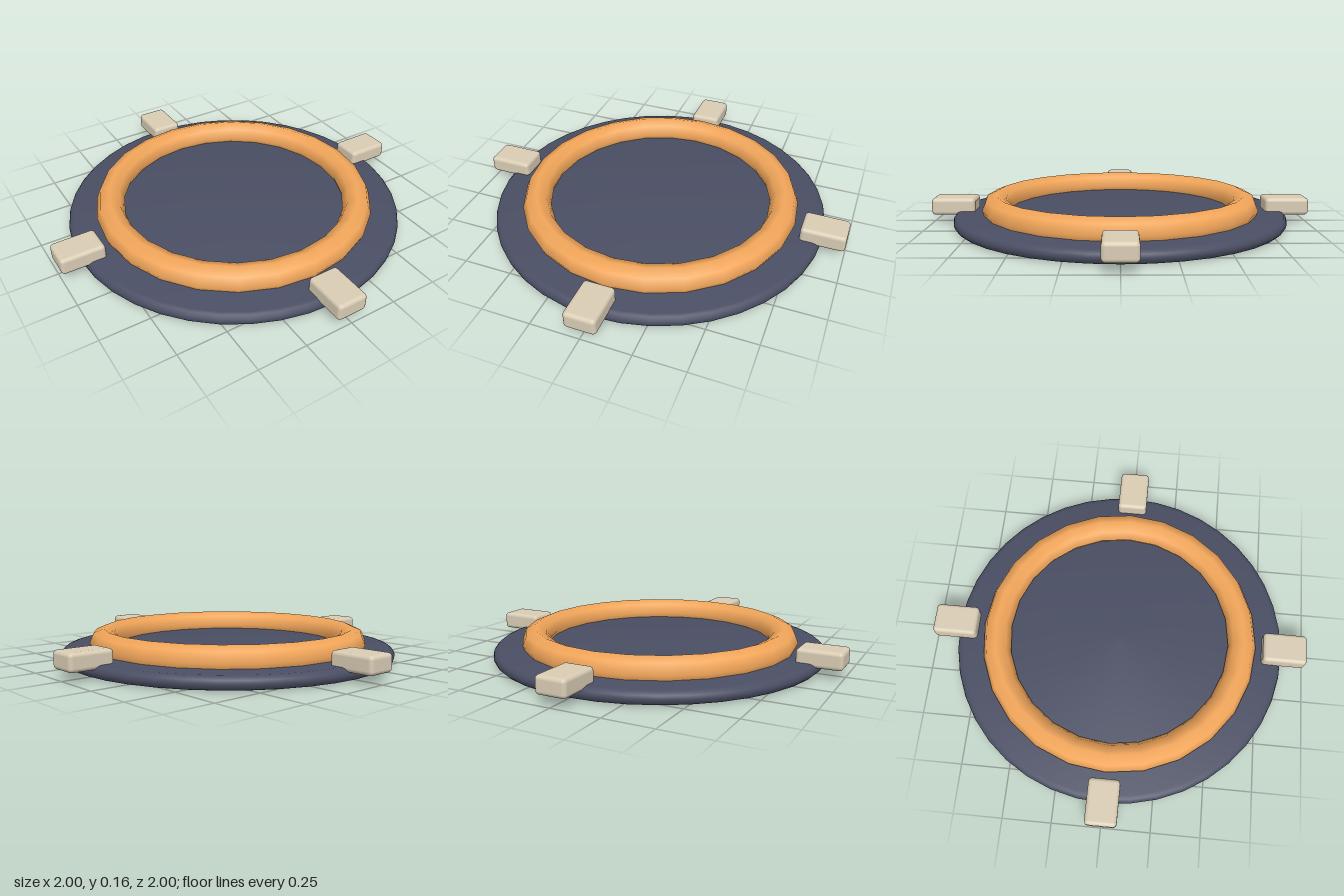
import * as THREE from 'three';
import { RoundedBoxGeometry } from 'three/addons/geometries/RoundedBoxGeometry.js';
import { toCreasedNormals } from 'three/addons/utils/BufferGeometryUtils.js';

export function createModel() {
  const model = new THREE.Group();
  const add = (name, geometry, color) => {
    const mesh = new THREE.Mesh(geometry, new THREE.MeshStandardMaterial({ color }));
    mesh.name = name;
    model.add(mesh);
    return mesh;
  };

  // Flat base disc with a rounded rim
  const height = 0.066, rim = height / 2, radius = 0.88;
  const profile = [new THREE.Vector2(0, 0)];
  for (let i = 0; i <= 6; i++) {
    const a = -Math.PI / 2 + (i / 6) * Math.PI;
    profile.push(new THREE.Vector2(radius - rim + rim * Math.cos(a), rim + rim * Math.sin(a)));
  }
  profile.push(new THREE.Vector2(0, height));
  add('baseDisc', toCreasedNormals(new THREE.LatheGeometry(profile, 40), 0.7), 0x4a4e63);

  // Raised ring, partly sunk into the disc
  const ring = new THREE.TorusGeometry(0.66, 0.074, 8, 24).rotateX(-Math.PI / 2);
  add('ring', ring, 0xf2a65a).position.y = 0.09;

  // Four rounded blocks overhanging the rim
  const names = ['frontBlock', 'leftBlock', 'backBlock', 'rightBlock'];
  names.forEach((name, i) => {
    const a = (i * Math.PI) / 2;
    const block = add(name, new RoundedBoxGeometry(0.16, 0.09, 0.23, 3, 0.02), 0xd9ccb4);
    block.position.set(0.885 * Math.sin(a), 0.09, 0.885 * Math.cos(a));
    block.rotation.y = a;
  });

  return model;
}
